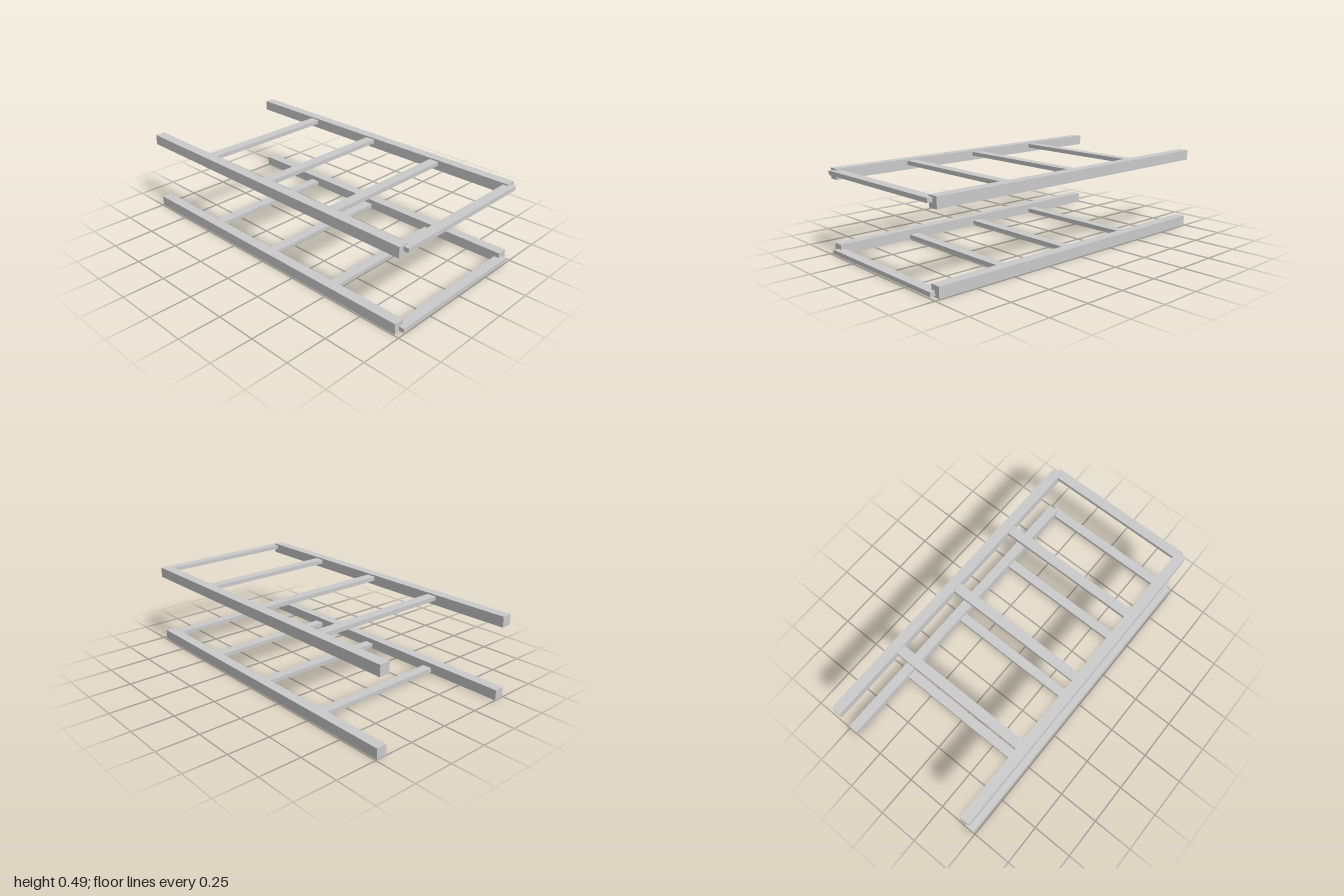
import * as THREE from 'three';

export function createModel() {
  const model = new THREE.Group();
  const material = new THREE.MeshStandardMaterial({ color: 0xcccccc, flatShading: true });

  function bar(parent, name, size, position) {
    const mesh = new THREE.Mesh(new THREE.BoxGeometry(...size), material);
    mesh.name = name;
    mesh.position.set(...position);
    parent.add(mesh);
  }

  // Two ladder-like frames, one above the other; rungs sit toward the outer faces
  const frames = [
    { name: 'lowerFrame', railY: 0.031, rungY: 0.0205 },
    { name: 'upperFrame', railY: 0.463, rungY: 0.473 },
  ];
  const firstRung = -0.507, rungSpacing = 0.4923;

  for (const { name, railY, rungY } of frames) {
    const frame = new THREE.Group();
    frame.name = name;

    // Long square side rails
    for (const side of [1, -1]) {
      bar(frame, side > 0 ? 'frontRail' : 'backRail', [1.97, 0.0615, 0.0615], [-0.015, railY, side * 0.4615]);
    }

    // Flat cross rungs let into the rails, the last one at the rail ends
    for (let i = 0; i < 4; i++) {
      bar(frame, i < 3 ? 'rung' : 'endRung', [0.06, 0.0245, 0.922], [firstRung + i * rungSpacing, rungY, 0]);
    }
    model.add(frame);
  }
  return model;
}
